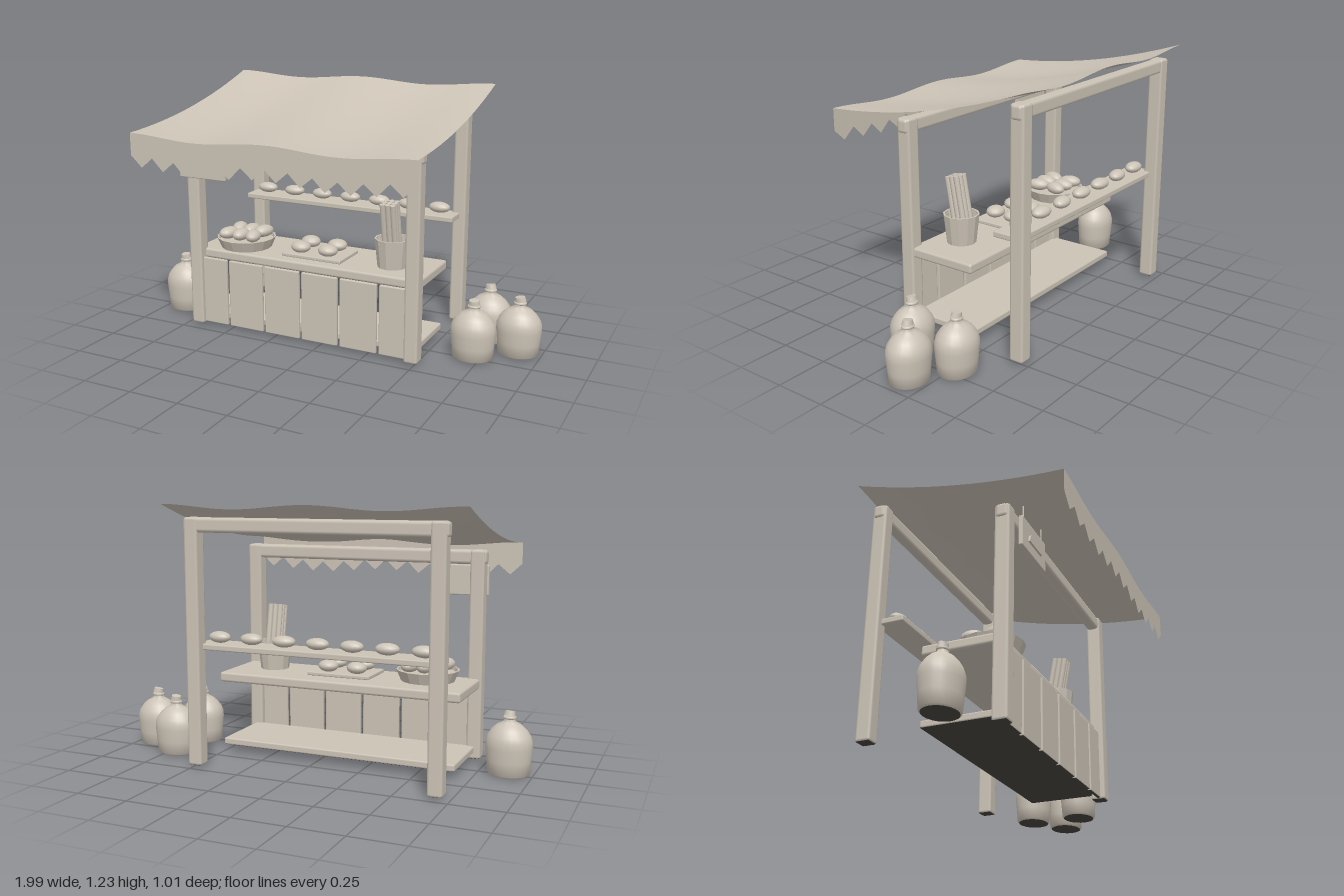
import * as THREE from 'three';
import { RoundedBoxGeometry } from 'three/addons/geometries/RoundedBoxGeometry.js';
import { toCreasedNormals } from 'three/addons/utils/BufferGeometryUtils.js';

const clay = new THREE.MeshStandardMaterial({ color: 0xccc3b6, side: THREE.DoubleSide });
clay.name = 'pale clay';
const soot = new THREE.MeshStandardMaterial({ color: 0x48453d });
soot.name = 'dark underside';
const darkBelow = [clay, clay, clay, soot, clay, clay]; // box faces: +x -x +y -y +z -z

const CX = -0.1; // centre line of the stall

export function createModel() {
  const root = new THREE.Group();
  root.name = 'marketStall';

  const add = (name, geo, x = 0, y = 0, z = 0, parent = root, material = clay) => {
    const m = new THREE.Mesh(geo, material);
    m.name = name;
    m.position.set(x, y, z);
    parent.add(m);
    return m;
  };
  const beam = (name, w, h, d, x, y, z, r = 0.008, parent = root, material = clay) =>
    add(name, new RoundedBoxGeometry(w, h, d, 1, r), x, y, z, parent, material);
  const points = (list) => list.map((q) => new THREE.Vector2(...q));
  const tub = (list, n) => toCreasedNormals(new THREE.LatheGeometry(points(list), n), 0.3);
  const loafGeo = new THREE.SphereGeometry(1, 16, 10);
  const loaf = (name, x, y, z, rx, ry, rz, turn = 0, parent = root) => {
    const m = add(name, loafGeo, x, y, z, parent);
    m.scale.set(rx, ry, rz);
    m.rotation.y = turn;
  };

  // Timber frame, dark where it meets the ground
  for (const s of [-1, 1]) {
    const x = CX + s * 0.585;
    beam('frontPost', 0.07, 1.005, 0.072, x, 0.5175, 0.177, 0.013, root, darkBelow);
    beam('backPost', 0.07, 1.16, 0.072, x, 0.595, -0.445, 0.013, root, darkBelow);
  }
  beam('frontBeam', 1.255, 0.068, 0.06, CX, 0.985, 0.177, 0.016);
  beam('backBeam', 1.255, 0.068, 0.06, CX, 1.14, -0.445, 0.016);

  // Counter, shelves and front boards
  beam('counterTop', 1.22, 0.048, 0.36, CX, 0.385, -0.012, 0.012);
  beam('bottomShelf', 1.18, 0.034, 0.35, CX, 0.062, -0.017, 0.008, root, darkBelow);
  beam('backShelf', 1.18, 0.028, 0.14, CX, 0.577, -0.372, 0.006);
  for (let i = 0; i < 6; i++) {
    beam('frontBoard', 0.192, 0.345, 0.02, CX + (i - 2.5) * 0.205, 0.195, 0.18, 0.006, root, darkBelow);
  }

  // Awning: sagging sheet with waves across its width
  const wave = (x) => 0.011 * Math.cos((2 * Math.PI * (x - CX)) / 0.72);
  const sheet = new THREE.PlaneGeometry(1.44, 1.01, 48, 16);
  sheet.rotateX(-Math.PI / 2);
  sheet.translate(CX, 0, 0);
  const p = sheet.attributes.position;
  for (let i = 0; i < p.count; i++) {
    const t = (0.505 - p.getZ(i)) / 1.01;
    p.setY(i, 1.028 + 0.04 * t + 0.155 * t * t + wave(p.getX(i)));
  }
  sheet.computeVertexNormals();
  add('awning', sheet);

  // Zigzag valance hanging from the front edge
  const edge = new THREE.Shape();
  const x0 = CX - 0.72;
  edge.moveTo(x0, 1.028 + wave(x0));
  for (let i = 1; i <= 48; i++) {
    const x = x0 + i * 0.03;
    edge.lineTo(x, 1.028 + wave(x));
  }
  for (let i = 24; i >= 0; i--) {
    const x = x0 + i * 0.06;
    edge.lineTo(x, (i % 2 ? 0.868 : 0.922) + wave(x));
  }
  add('valance', new THREE.ShapeGeometry(edge), 0, 0, 0.505);

  // Hanging sign with a loaf-shaped relief
  const sign = new THREE.Group();
  sign.name = 'hangingSign';
  sign.position.set(-0.585, 0.867, 0.264);
  root.add(sign);
  beam('signBoard', 0.26, 0.146, 0.02, 0, 0, 0, 0.005, sign);
  for (const s of [-1, 1]) {
    add('signCord', new THREE.CylinderGeometry(0.003, 0.003, 0.07, 6), s * 0.1, 0.1, 0, sign);
  }
  const dome = new THREE.Shape();
  dome.absellipse(0, 0, 0.068, 0.055, 0, Math.PI, false);
  dome.closePath();
  add('signRelief',
    new THREE.ExtrudeGeometry(dome, { depth: 0.009, bevelEnabled: false, curveSegments: 16 }),
    0, -0.025, 0.01, sign);

  // Buns on the back shelf
  for (let i = 0; i < 7; i++) {
    loaf('shelfBun', -0.6 + i * 0.166, 0.618, -0.376, 0.056, 0.027, 0.037, 0.1 * Math.sin(i * 2));
  }

  // Tray of four buns
  beam('tray', 0.32, 0.018, 0.21, -0.08, 0.419, 0.01, 0.005);
  for (const sx of [-1, 1]) for (const sz of [-1, 1]) {
    loaf('trayBun', -0.085 + sx * 0.074, 0.455, 0.01 + sz * 0.053, 0.05, 0.029, 0.045);
  }

  // Shallow open basket heaped with small loaves
  const basket = new THREE.Group();
  basket.name = 'breadBasket';
  basket.position.set(-0.49, 0.409, 0.033);
  root.add(basket);
  add('basketBowl', tub([[0, 0], [0.128, 0], [0.15, 0.053], [0.142, 0.053], [0.138, 0.035], [0, 0.035]], 16), 0, 0, 0, basket);
  for (let i = 0; i < 3; i++) for (const s of [-1, 1]) {
    loaf('basketLoaf', (i - 1) * 0.071, 0.073, s * 0.053, 0.038, 0.03, 0.057, (i - 1) * 0.3 * s, basket);
  }

  // Bucket of long loaves
  const bucket = new THREE.Group();
  bucket.name = 'bucket';
  bucket.position.set(0.31, 0.409, 0.02);
  root.add(bucket);
  add('bucketBody', tub([[0, 0], [0.07, 0], [0.086, 0.14], [0.078, 0.14], [0.064, 0.02], [0, 0.02]], 12), 0, 0, 0, bucket);
  const sticks = new THREE.Group();
  sticks.name = 'longLoaves';
  sticks.position.set(-0.003, 0.02, -0.02);
  sticks.rotation.x = 0.18;
  bucket.add(sticks);
  const stickGeo = new THREE.CylinderGeometry(0.0135, 0.0135, 0.305, 8);
  for (let i = 0; i < 9; i++) {
    add('longLoaf', stickGeo, ((i % 3) - 1) * 0.026, 0.15, (Math.floor(i / 3) - 1) * 0.026, sticks);
  }

  // Stoppered jugs beside the stall, with dark bases
  const profile = [[0.086, 0.005], [0.095, 0.012], [0.1, 0.07], [0.106, 0.13], [0.105, 0.16], [0.096, 0.185],
    [0.078, 0.21], [0.056, 0.23], [0.033, 0.242], [0.026, 0.25], [0.026, 0.268], [0, 0.27]];
  const jugGeo = toCreasedNormals(new THREE.LatheGeometry(points(profile), 24), 0.9);
  const baseGeo = new THREE.CircleGeometry(0.086, 24);
  baseGeo.rotateX(Math.PI / 2);
  const collarGeo = new THREE.TorusGeometry(0.024, 0.007, 8, 16);
  collarGeo.rotateX(Math.PI / 2);
  const stopperGeo = new THREE.CylinderGeometry(0.023, 0.027, 0.022, 14);
  const jug = (x, z, h, turn) => {
    const g = new THREE.Group();
    g.name = 'jug';
    g.position.set(x, 0, z);
    g.scale.set(1.02, h, 0.87);
    root.add(g);
    add('jugBody', jugGeo, 0, 0, 0, g);
    add('jugBase', baseGeo, 0, 0.005, 0, g, soot);
    add('jugCollar', collarGeo, 0, 0.262, 0, g);
    const cap = add('jugStopper', stopperGeo, 0, 0.281, 0, g);
    cap.rotation.set(0.18 * Math.cos(turn), 0, 0.18 * Math.sin(turn));
  };
  jug(-0.888, 0.012, 1.04, 0.4);
  jug(0.71, -0.275, 0.99, 2.2);
  jug(0.89, -0.16, 0.99, 1.2);
  jug(0.71, -0.02, 0.99, 0.2);

  return root;
}
